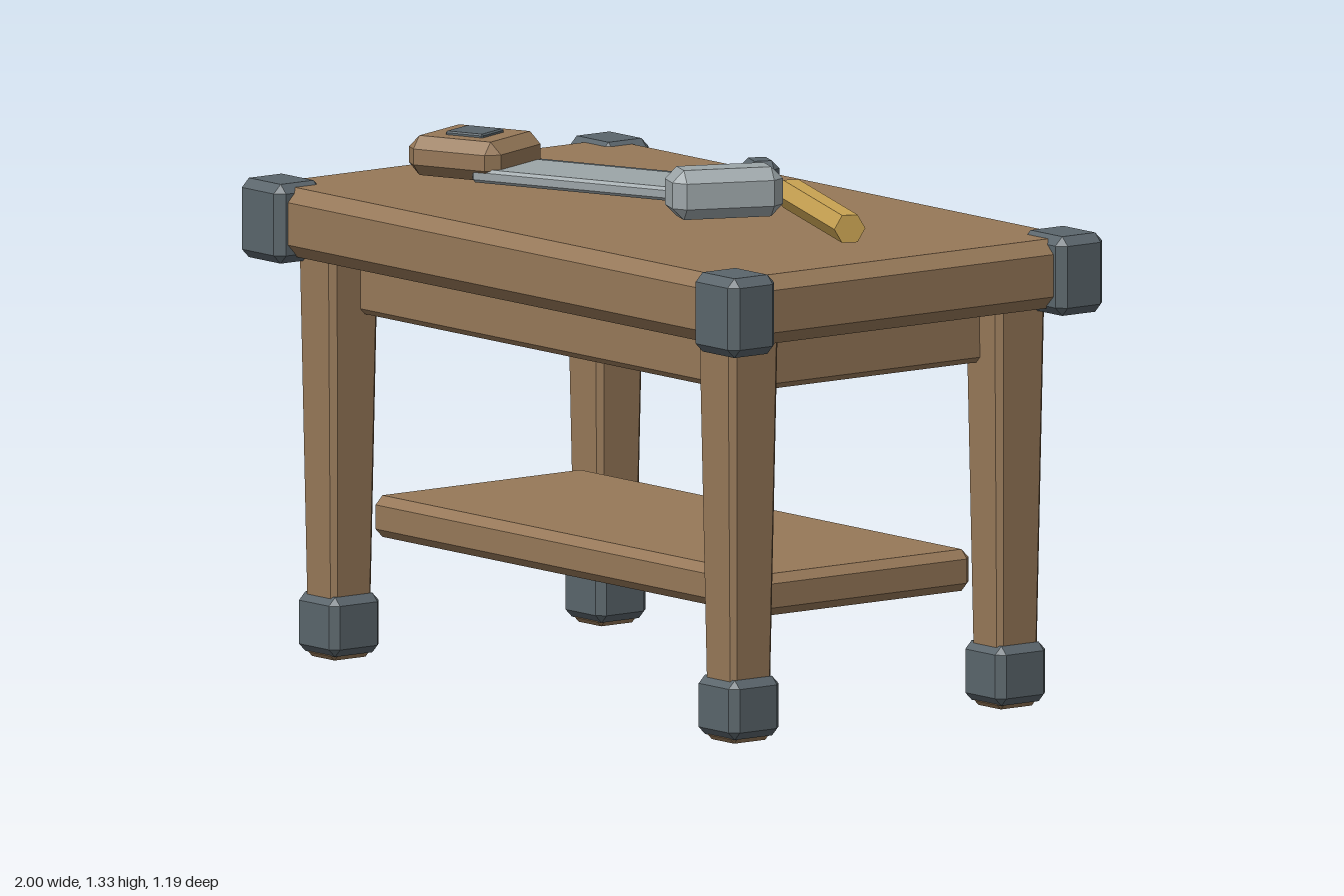
import * as THREE from 'three';
import { ConvexGeometry } from 'three/addons/geometries/ConvexGeometry.js';

const mat = (name, color) => {
  const m = new THREE.MeshStandardMaterial({ color });
  m.name = name;
  return m;
};

// Box with every edge chamfered by b (a number, or [bx, by, bz]); top is scaled by the taper.
function chamferBox(w, h, d, b, taper = 1) {
  const [bx, by, bz] = Array.isArray(b) ? b : [b, b, b];
  const pts = [];
  for (const sx of [-1, 1]) for (const sy of [-1, 1]) for (const sz of [-1, 1]) {
    const k = sy > 0 ? taper : 1;
    const x = w / 2, y = h / 2, z = d / 2;
    pts.push(
      new THREE.Vector3(sx * x * k, sy * (y - by), sz * (z - bz) * k),
      new THREE.Vector3(sx * (x - bx) * k, sy * y, sz * (z - bz) * k),
      new THREE.Vector3(sx * (x - bx) * k, sy * (y - by), sz * z * k));
  }
  return new ConvexGeometry(pts);
}

export function createModel() {
  const wood = mat('wood', 0x967858);
  const iron = mat('dark iron', 0x5a656b);
  const steel = mat('steel', 0x9ca5a8);
  const ochre = mat('yellow handle', 0xc8a252);
  const model = new THREE.Group();
  model.name = 'workbench';

  const add = (parent, name, geometry, material, x, y, z) => {
    const mesh = new THREE.Mesh(geometry, material);
    mesh.name = name;
    mesh.position.set(x, y, z);
    parent.add(mesh);
    return mesh;
  };

  // Bench boards
  add(model, 'tabletop', chamferBox(1.94, 0.175, 1.13, [0.036, 0.034, 0.032]), wood, 0, 1.1025, 0);
  add(model, 'apron', chamferBox(1.6, 0.17, 0.82, 0.015), wood, 0, 0.955, 0);
  add(model, 'shelf', chamferBox(1.58, 0.105, 0.67, 0.022), wood, 0, 0.3475, 0);

  // Legs with iron shoes, and iron caps on the tabletop corners
  const legGeo = chamferBox(0.114, 1.03, 0.122, 0.012, 1.28);
  const shoeGeo = chamferBox(0.16, 0.15, 0.158, 0.02);
  const capGeo = chamferBox(0.172, 0.2, 0.148, 0.022);
  for (const sx of [-1, 1]) for (const sz of [-1, 1]) {
    add(model, 'leg', legGeo, wood, sx * 0.805, 0.515, sz * 0.422);
    add(model, 'legShoe', shoeGeo, iron, sx * 0.805, 0.087, sz * 0.422);
    add(model, 'cornerCap', capGeo, iron, sx * 0.914, 1.1, sz * 0.519);
  }

  // Hand saw lying on the bench
  const saw = new THREE.Group();
  saw.name = 'saw';
  saw.position.set(-0.68, 1.2, 0.09);
  saw.rotation.y = 0.375;
  add(saw, 'sawGrip', chamferBox(0.265, 0.1, 0.255, 0.03), wood, 0, 0.052, 0);
  add(saw, 'sawGripPlate', chamferBox(0.108, 0.02, 0.108, 0.004), iron, 0, 0.101, 0);
  add(saw, 'sawBlade', chamferBox(0.8, 0.035, 0.215, 0.008), steel, 0.46, 0.0175, 0.0145);
  add(saw, 'sawToothEdge', chamferBox(0.76, 0.03, 0.045, 0.006), iron, 0.475, 0.0155, -0.105);
  model.add(saw);

  // Hammer, its handle along local x and its head across it
  const hammer = new THREE.Group();
  hammer.name = 'hammer';
  hammer.position.set(0.47, 1.2, -0.1);
  hammer.rotation.y = -0.4;
  const handleGeo = new THREE.CylinderGeometry(0.04, 0.04, 0.56, 6).toNonIndexed();
  handleGeo.rotateZ(Math.PI / 2);
  handleGeo.computeVertexNormals();
  add(hammer, 'hammerHandle', handleGeo, ochre, 0, 0.036, 0);
  add(hammer, 'hammerHead', chamferBox(0.13, 0.125, 0.285, 0.03), steel, -0.201, 0.0625, 0.194);
  add(hammer, 'hammerClaw', chamferBox(0.1, 0.125, 0.085, 0.02), iron, -0.285, 0.0625, 0.078);
  model.add(hammer);

  return model;
}
